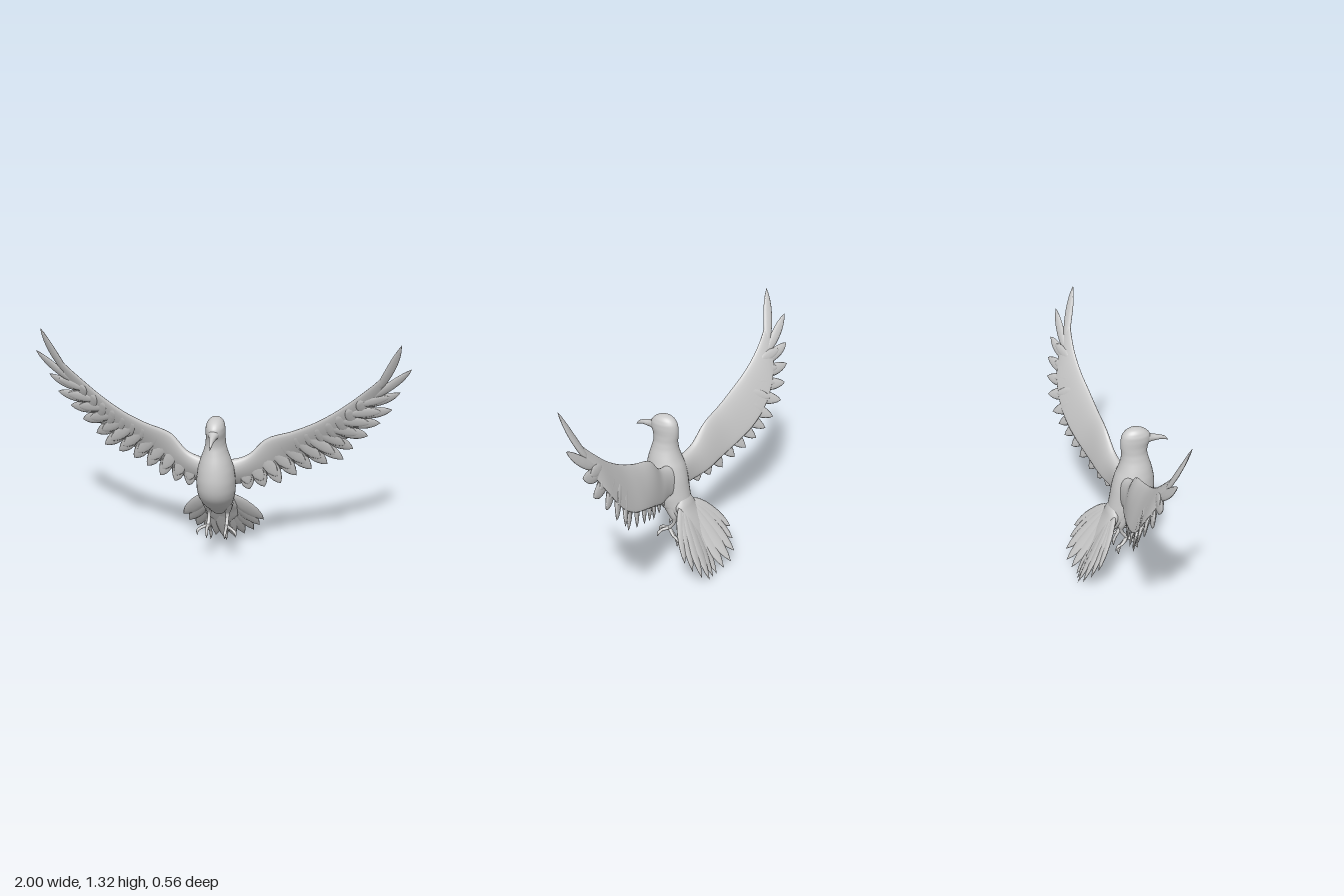
import * as THREE from 'three';

const material = new THREE.MeshStandardMaterial({ color: 0xcccccc });
const V = (x, y, z) => new THREE.Vector3(x, y, z);
const curve = pts => new THREE.CatmullRomCurve3(pts.map(p => V(...p)));

// Skin a closed surface over equal-sized rings of points, with smooth normals
function loft(rings) {
  const n = rings[0].length, index = [];
  for (let i = 0; i < rings.length - 1; i++) {
    for (let j = 0; j < n; j++) {
      const a = i * n + j, b = i * n + (j + 1) % n;
      index.push(a, b, b + n, a, b + n, a + n);
    }
  }
  const geo = new THREE.BufferGeometry().setFromPoints(rings.flat());
  geo.setIndex(index);
  geo.computeVertexNormals();
  return geo;
}

// Sample a list of numbers at t in 0..1
function sample(list, t) {
  const f = t * (list.length - 1), i = Math.min(Math.floor(f), list.length - 2);
  return THREE.MathUtils.lerp(list[i], list[i + 1], f - i);
}

// Elliptical limb along a path; ref points along the thin direction
function limb(path, widths, thicks, ref, steps = 12, sides = 10) {
  const rings = [];
  for (let i = 0; i <= steps; i++) {
    const t = i / steps, c = path.getPoint(t), w = path.getTangent(t);
    const v = ref.clone().addScaledVector(w, -ref.dot(w)).normalize();
    const u = v.clone().cross(w);
    const a = sample(widths, t), b = sample(thicks, t);
    rings.push(Array.from({ length: sides }, (_, j) => {
      const q = j / sides * Math.PI * 2;
      return c.clone().addScaledVector(u, a * Math.cos(q)).addScaledVector(v, b * Math.sin(q));
    }));
  }
  return loft(rings);
}

function mirrored(geo) {
  const g = geo.clone().scale(-1, 1, 1);
  g.setIndex(Array.from(geo.index.array).reverse());
  g.computeVertexNormals();
  return g;
}

// A feather is a thin blade with a rounded tip
function feather(root, tip, width, thick, ref, bend = V(0, 0, 0)) {
  const mid = root.clone().lerp(tip, 0.5).add(bend);
  const path = new THREE.QuadraticBezierCurve3(root, mid, tip);
  const widths = [0.3, 0.7, 0.9, 1, 1, 0.98, 0.9, 0.72, 0.45, 0].map(k => k * width);
  const thicks = [0.4, 0.9, 1, 1, 1, 0.9, 0.8, 0.65, 0.45, 0].map(k => k * thick);
  return limb(path, widths, thicks, ref, 18);
}

// Leading and trailing edges of the fleshy part of the wing
const leading = curve([[0.02, 0.62, 0.05], [0.1, 0.63, 0.04], [0.17, 0.66, 0.03], [0.26, 0.75, 0.015],
  [0.4, 0.8, 0.008], [0.52, 0.855, 0], [0.64, 0.93, -0.015], [0.75, 1.02, -0.02], [0.84, 1.11, -0.01], [0.88, 1.17, 0]]);
const trailing = curve([[0.02, 0.46, 0], [0.12, 0.47, -0.01], [0.22, 0.49, -0.04], [0.33, 0.54, -0.07],
  [0.45, 0.59, -0.1], [0.57, 0.64, -0.12], [0.68, 0.72, -0.13], [0.77, 0.84, -0.12], [0.84, 0.97, -0.08], [0.88, 1.13, -0.02]]);
const wingNormal = V(0.33, -0.38, 0.87).normalize();
const onWing = (u, v) => leading.getPoint(u).lerp(trailing.getPoint(u), v);

// Flight feathers: tip x, y, z, root position along the wing, half width
const flight = [
  [0.94, 1.315, 0.04, 0.87, 0.029], [1.0, 1.16, -0.05, 0.82, 0.031], [0.948, 1.01, -0.1, 0.78, 0.034],
  [0.912, 0.9, -0.13, 0.72, 0.036], [0.852, 0.81, -0.155, 0.67, 0.036], [0.79, 0.725, -0.17, 0.62, 0.036],
  [0.715, 0.648, -0.165, 0.57, 0.036], [0.665, 0.59, -0.145, 0.52, 0.036], [0.58, 0.56, -0.135, 0.47, 0.037],
  [0.495, 0.532, -0.12, 0.41, 0.038], [0.415, 0.5, -0.095, 0.355, 0.038], [0.335, 0.46, -0.065, 0.3, 0.038],
  [0.25, 0.445, -0.04, 0.24, 0.038], [0.17, 0.435, -0.015, 0.17, 0.038]];

function wingGeometries() {
  const parts = [];
  // Arm and skin of the wing, thick in front and thin behind
  const rings = [];
  for (let i = 0; i <= 40; i++) {
    const u = i / 40, thick = sample([0.05, 0.04, 0.03, 0.026, 0.023, 0.021, 0.018, 0.015, 0.011, 0.002], u);
    rings.push(Array.from({ length: 24 }, (_, j) => {
      const q = j / 24 * Math.PI * 2, v = (1 - Math.cos(q)) / 2;
      return onWing(u, v).addScaledVector(wingNormal, Math.sin(q) * thick * (1.1 - 0.7 * v));
    }));
  }
  parts.push(['wingArm', loft(rings)]);
  flight.forEach(([x, y, z, u, w], i) => {
    const tip = V(x, y, z), root = onWing(u, 0.4);
    const ref = wingNormal.clone().add(V(0.12, 0.12, 0));
    const bend = i < 6 ? V(0.012, -0.014, -0.005) : V(-0.004, -0.01, 0);
    parts.push(['flightFeather', feather(root, tip, w, 0.011, ref, bend)]);
    // Two shorter rows of coverts over the inner side, one over the back
    for (const [v0, reach, lift] of [[0.25, 0.72, 0.009], [0.1, 0.45, 0.011], [0.25, 0.66, -0.007]]) {
      if (i < 2) continue;
      const a = onWing(Math.max(u - 0.02, 0.1), v0), b = root.clone().lerp(tip, reach);
      if (reach < 0.5) b.copy(onWing(u, 0.72));
      a.addScaledVector(wingNormal, lift * 0.7);
      b.addScaledVector(wingNormal, lift);
      parts.push(['covertFeather', feather(a, b, w * 0.9, 0.009, ref)]);
    }
  });
  return parts;
}

function legGeometries() {
  const side = V(1, 0, 0.2), parts = [];
  const shin = curve([[0.05, 0.37, 0.02], [0.051, 0.31, 0], [0.051, 0.27, 0.002], [0.051, 0.225, 0.035]]);
  const r = [0.04, 0.027, 0.012, 0.009, 0.011];
  parts.push(['leg', limb(shin, r, r, side, 14)]);
  // Toes curl down into pointed claws
  const toes = [
    [[0.052, 0.222, 0.075], [0.05, 0.205, 0.094], [0.05, 0.175, 0.1]],
    [[0.085, 0.22, 0.06], [0.104, 0.205, 0.07], [0.105, 0.18, 0.076]],
    [[0.06, 0.19, 0], [0.068, 0.185, -0.025], [0.07, 0.155, -0.042]],
    [[0.045, 0.18, 0], [0.043, 0.145, -0.015], [0.045, 0.113, -0.014]]];
  for (const toe of toes) {
    const tr = [0.01, 0.009, 0.008, 0.009, 0.006, 0];
    parts.push(['toe', limb(curve([[0.051, 0.226, 0.034], ...toe]), tr, tr, V(0.9, 0.2, 0.3), 12, 8)]);
  }
  return parts;
}

export function createModel() {
  const model = new THREE.Group();
  const add = (name, geo, parent = model) => {
    const mesh = new THREE.Mesh(geo, material);
    mesh.name = name;
    parent.add(mesh);
  };

  // Body and head: height, front z, back z, half width
  const sections = [
    [0.268, -0.02, -0.03, 0.002], [0.28, 0, -0.075, 0.032], [0.32, 0.05, -0.075, 0.06], [0.37, 0.115, -0.066, 0.084],
    [0.43, 0.17, -0.055, 0.1], [0.48, 0.193, -0.046, 0.105], [0.54, 0.201, -0.036, 0.104], [0.6, 0.195, -0.02, 0.096],
    [0.65, 0.184, 0, 0.082], [0.7, 0.169, 0.014, 0.064], [0.74, 0.16, 0.017, 0.054], [0.78, 0.165, 0.013, 0.051],
    [0.815, 0.177, 0.013, 0.052], [0.845, 0.174, 0.019, 0.05], [0.868, 0.155, 0.034, 0.041], [0.883, 0.128, 0.057, 0.026],
    [0.89, 0.093, 0.091, 0.001]];
  const ends = curve(sections.map(([y, f, b]) => [f, y, b]));
  const rings = [];
  for (let i = 0; i <= 64; i++) {
    const p = ends.getPoint(i / 64), w = sample(sections.map(s => s[3]), i / 64);
    rings.push(Array.from({ length: 32 }, (_, j) => {
      const q = j / 32 * Math.PI * 2;
      return V(w * Math.cos(q), p.y, (p.x + p.z) / 2 - (p.x - p.z) / 2 * Math.sin(q));
    }));
  }
  add('body', loft(rings));

  // Slender beak, hooked down at the tip
  const beak = curve([[0, 0.818, 0.15], [0, 0.812, 0.19], [0, 0.806, 0.235], [0, 0.796, 0.262], [0, 0.778, 0.283]]);
  add('beak', limb(beak, [0.034, 0.02, 0.012, 0.008, 0], [0.032, 0.02, 0.013, 0.009, 0], V(0, 1, 0.1), 16, 14));

  // Tail: a root and a fan of feathers, the outer ones swept back
  const tail = new THREE.Group();
  tail.name = 'tail';
  model.add(tail);
  const tailNormal = V(0, 0.45, -0.85).normalize();
  const rump = curve([[0, 0.47, 0], [0, 0.36, -0.045], [0, 0.25, -0.11], [0, 0.1, -0.19]]);
  add('tailRoot', limb(rump, [0.03, 0.072, 0.095, 0.09, 0], [0.03, 0.038, 0.026, 0.014, 0], tailNormal, 20, 20), tail);
  const tips = [[0, 0, -0.25], [0.055, 0.012, -0.262], [0.11, 0.028, -0.274], [0.165, 0.065, -0.26],
    [0.203, 0.115, -0.225], [0.23, 0.17, -0.19]];
  tips.forEach(([x, y, z], i) => {
    const blade = feather(V(x * 0.2, 0.385, -0.04), V(x, y, z), 0.043, 0.014,
      tailNormal.clone().add(V(-0.2 * (i > 0), 0, 0)), V(x * 0.02, 0, 0.008));
    add('tailFeather', blade, tail);
    if (i) add('tailFeather', mirrored(blade), tail);
  });

  // Wings and legs, built once and mirrored
  for (const [name, parts] of [['Wing', wingGeometries()], ['Leg', legGeometries()]]) {
    for (const side of ['left', 'right']) {
      const group = new THREE.Group();
      group.name = side + name;
      model.add(group);
      for (const [part, geo] of parts) add(part, side === 'left' ? geo : mirrored(geo), group);
    }
  }
  return model;
}
